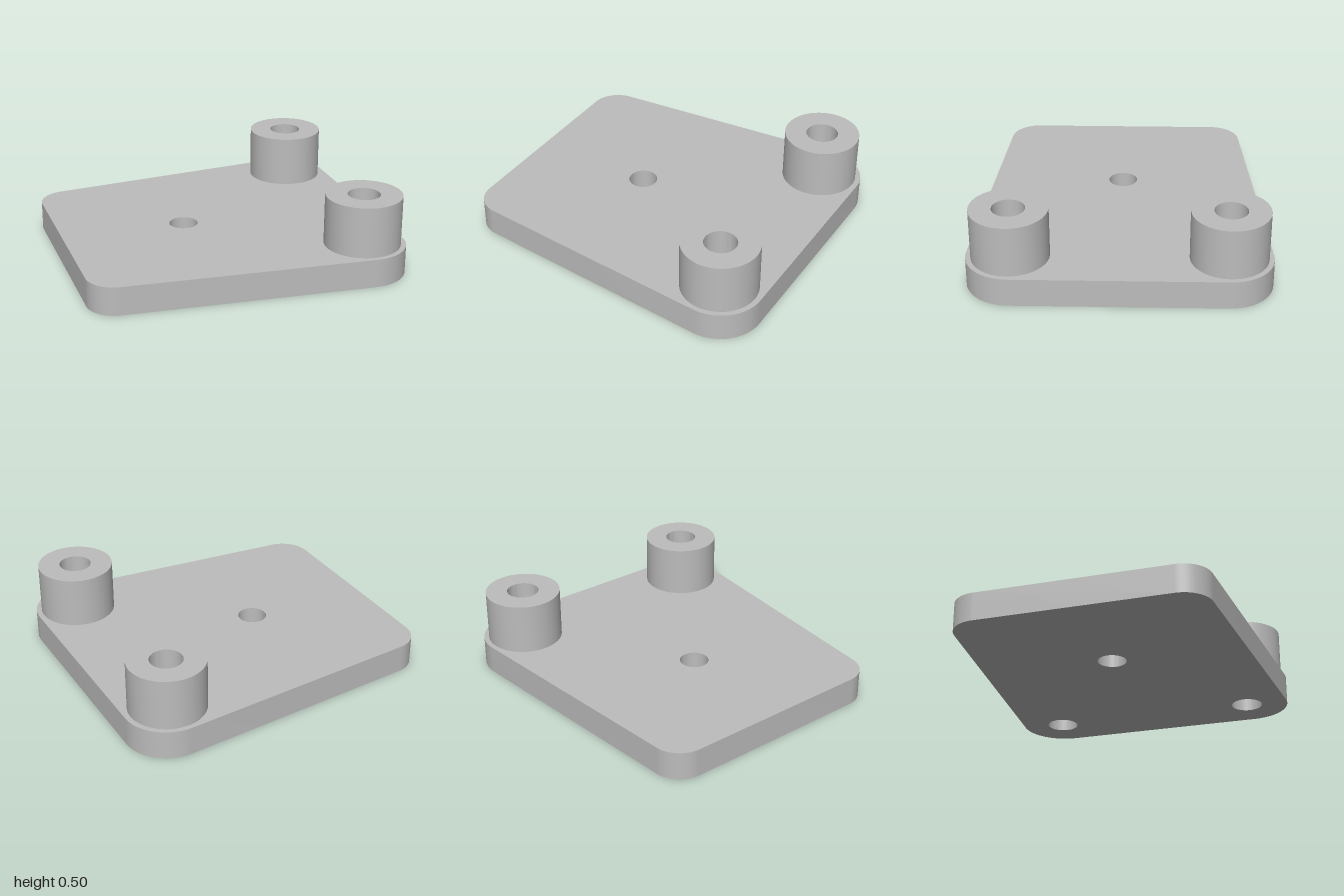
import * as THREE from 'three';
import { toCreasedNormals } from 'three/addons/utils/BufferGeometryUtils.js';

const PLATE_H = 0.18, TOP = 0.5;
const BOSS = { x: 0.73, z: 0.65, r: 0.236, hole: 0.1 };

function circleHole(x, y, r) {
  return new THREE.Path().absarc(x, y, r, 0, Math.PI * 2, true);
}

// Extrude a plan outline upward, keeping rims sharp and curved walls smooth
function extrudeUp(shape, height) {
  const geo = new THREE.ExtrudeGeometry(shape, { depth: height, bevelEnabled: false, curveSegments: 32 });
  geo.rotateX(-Math.PI / 2);
  return toCreasedNormals(geo, 0.6);
}

export function createModel() {
  const group = new THREE.Group();
  group.name = 'mountingPlate';
  const metal = new THREE.MeshStandardMaterial({ color: 0xbcbcbc });
  metal.name = 'greyMetal';

  const add = (name, geo, x = 0, y = 0, z = 0) => {
    const mesh = new THREE.Mesh(geo, metal);
    mesh.name = name;
    mesh.position.set(x, y, z);
    group.add(mesh);
  };

  // Tapered plate: four corner arcs joined by tangent straight edges
  const H = Math.PI / 2, tilt = 0.084;
  const wide = { x: 0.73, y: 0.647, r: 0.27 };
  const narrow = { x: -0.82, y: 0.605, r: 0.18 };
  const outline = new THREE.Shape();
  outline.absarc(wide.x, wide.y, wide.r, 0, H + tilt, false);
  outline.absarc(narrow.x, narrow.y, narrow.r, H + tilt, 2 * H, false);
  outline.absarc(narrow.x, -narrow.y, narrow.r, 2 * H, 3 * H - tilt, false);
  outline.absarc(wide.x, -wide.y, wide.r, 3 * H - tilt, 4 * H, false);
  outline.closePath();
  outline.holes.push(circleHole(-0.215, 0, 0.09));
  for (const s of [1, -1]) outline.holes.push(circleHole(BOSS.x, s * BOSS.z, BOSS.hole));
  add('basePlate', extrudeUp(outline, PLATE_H));

  // Two hollow standoffs over the plate holes
  const ring = new THREE.Shape().absarc(0, 0, BOSS.r, 0, Math.PI * 2, false);
  ring.holes.push(circleHole(0, 0, BOSS.hole));
  const bossGeo = extrudeUp(ring, TOP - PLATE_H);
  add('frontStandoff', bossGeo, BOSS.x, PLATE_H, BOSS.z);
  add('backStandoff', bossGeo, BOSS.x, PLATE_H, -BOSS.z);

  return group;
}
